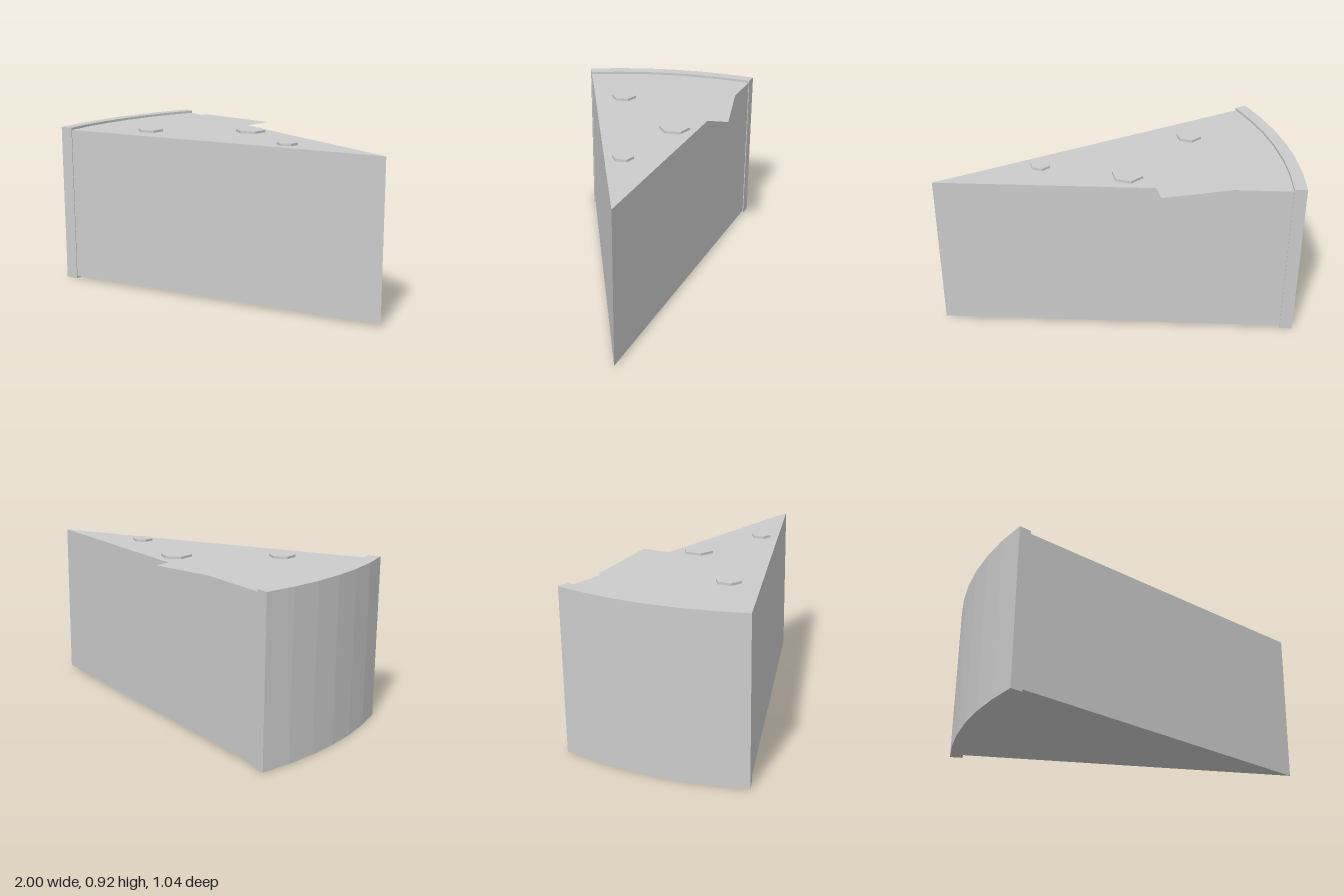
import * as THREE from 'three';
import { toCreasedNormals } from 'three/addons/utils/BufferGeometryUtils.js';

const TIP = 1; // x of the wedge's point, centre of all arcs

export function createModel() {
  const group = new THREE.Group();
  const material = new THREE.MeshStandardMaterial({ color: 0xcccccc });

  function add(name, geometry, mat = material) {
    const mesh = new THREE.Mesh(geometry, mat);
    mesh.name = name;
    group.add(mesh);
    return mesh;
  }

  // Points along an arc around the tip, in six straight facets
  function arc(radius, half) {
    return Array.from({ length: 7 }, (_, i) => {
      const a = Math.PI - half + (i * half) / 3;
      return new THREE.Vector2(TIP + radius * Math.cos(a), radius * Math.sin(a));
    });
  }

  // Extrude a plan outline upward from y0 to y1, with flat facets
  function upright(points, y0, y1) {
    const g = new THREE.ExtrudeGeometry(new THREE.Shape(points), { depth: y1 - y0, bevelEnabled: false });
    return g.rotateX(-Math.PI / 2).translate(0, y0, 0);
  }

  // Slice body: a 30 degree sector coming to a point
  const body = [new THREE.Vector2(TIP, 0), ...arc(1.93, Math.PI / 12)];
  add('sliceBody', upright(body, 0.015, 0.907));

  // Curved rind, slightly taller and wider than the slice
  const rind = [...arc(2, 0.264), ...arc(1.93, 0.264).reverse()];
  add('rind', upright(rind, 0, 0.921));

  // Thin square sheet above the top, overhanging the back
  const sheet = add(
    'topSheet',
    new THREE.PlaneGeometry(0.517, 0.52).rotateX(-Math.PI / 2),
    new THREE.MeshStandardMaterial({ color: 0xcccccc, side: THREE.DoubleSide })
  );
  sheet.position.set(-0.413, 0.921, -0.18);

  // Hexagonal toppings: x, z, radius
  const toppings = [[-0.488, 0.221, 0.073], [-0.04, -0.15, 0.087], [0.404, 0.058, 0.058]];
  toppings.forEach(([x, z, r], i) => {
    const hex = new THREE.CylinderGeometry(r, r, 0.022, 6);
    add('topping' + (i + 1), toCreasedNormals(hex, 0.3)).position.set(x, 0.91, z);
  });

  return group;
}
